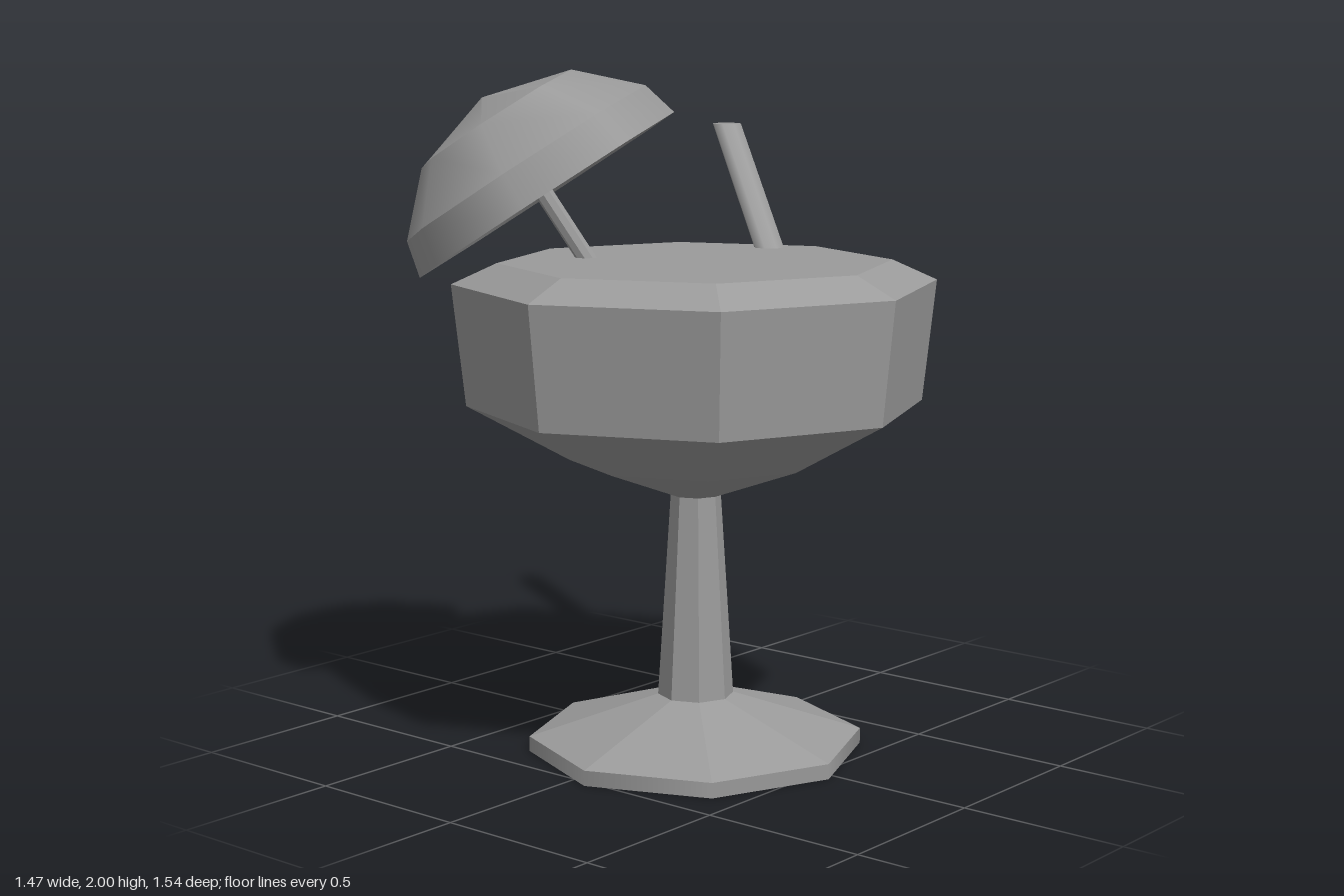
import * as THREE from 'three';

const COLOR = 0x9b9b9b;
const faceted = new THREE.MeshStandardMaterial({ color: COLOR, flatShading: true });
const smooth = new THREE.MeshStandardMaterial({ color: COLOR });
const SIDES = 8;

function part(name, geometry, mat) {
  const mesh = new THREE.Mesh(geometry, mat);
  mesh.name = name;
  return mesh;
}

// Octagonal surface turned from [radius, height] pairs, listed bottom to top to face outward
function turned(name, profile, mat) {
  const points = profile.map(([r, y]) => new THREE.Vector2(r, y));
  return part(name, new THREE.LatheGeometry(points, SIDES), mat);
}

export function createModel() {
  const model = new THREE.Group();
  model.name = 'cocktail';

  // Glass: foot, stem and filled bowl on one axis
  const glass = new THREE.Group();
  glass.name = 'glass';
  glass.position.set(-0.034, 0, 0.063);
  glass.add(
    turned('footBase', [[0, 0], [0.495, 0]], faceted),
    turned('footRim', [[0.495, 0], [0.495, 0.045]], smooth),
    turned('footSlope', [[0.495, 0.045], [0.112, 0.167]], faceted),
    turned('stem', [[0.112, 0.167], [0.074, 0.77]], faceted),
    turned('bowl', [[0.074, 0.77], [0.37, 0.877], [0.668, 1.04], [0.707, 1.395], [0.575, 1.455]], faceted),
    turned('drinkSurface', [[0.575, 1.455], [0, 1.455]], faceted)
  );
  model.add(glass);

  // Straw: a cylinder sheared sideways so its ends stay level
  const bottom = new THREE.Vector3(0.42, 1.45, -0.022);
  const top = new THREE.Vector3(0.69, 1.808, -0.41);
  const rise = top.y - bottom.y;
  const strawGeometry = new THREE.CylinderGeometry(0.047, 0.047, rise, SIDES);
  strawGeometry.rotateY(Math.PI / 8);
  strawGeometry.translate(0, rise / 2, 0);
  strawGeometry.applyMatrix4(new THREE.Matrix4().makeShear(
    0, 0, (top.x - bottom.x) / rise, (top.z - bottom.z) / rise, 0, 0
  ));
  const straw = part('straw', strawGeometry, smooth);
  straw.position.copy(bottom);
  model.add(straw);

  // Paper umbrella leaning to the back; its origin is the rim centre
  const umbrella = new THREE.Group();
  umbrella.name = 'umbrella';
  umbrella.position.set(-0.227, 1.635, -0.348);
  umbrella.rotation.set(THREE.MathUtils.degToRad(-33), THREE.MathUtils.degToRad(35), 0, 'YXZ');
  const stick = part('stick', new THREE.CylinderGeometry(0.027, 0.027, 0.56, SIDES), faceted);
  stick.position.y = 0.03;
  umbrella.add(
    turned('canopyRim', [[0.45, 0], [0.422, 0.11]], smooth),
    turned('canopySlope', [[0.422, 0.11], [0.265, 0.265]], smooth),
    turned('canopyCap', [[0.265, 0.265], [0, 0.34]], smooth),
    turned('canopyLining', [[0, 0.31], [0.45, 0]], smooth),
    stick
  );
  model.add(umbrella);

  return model;
}
